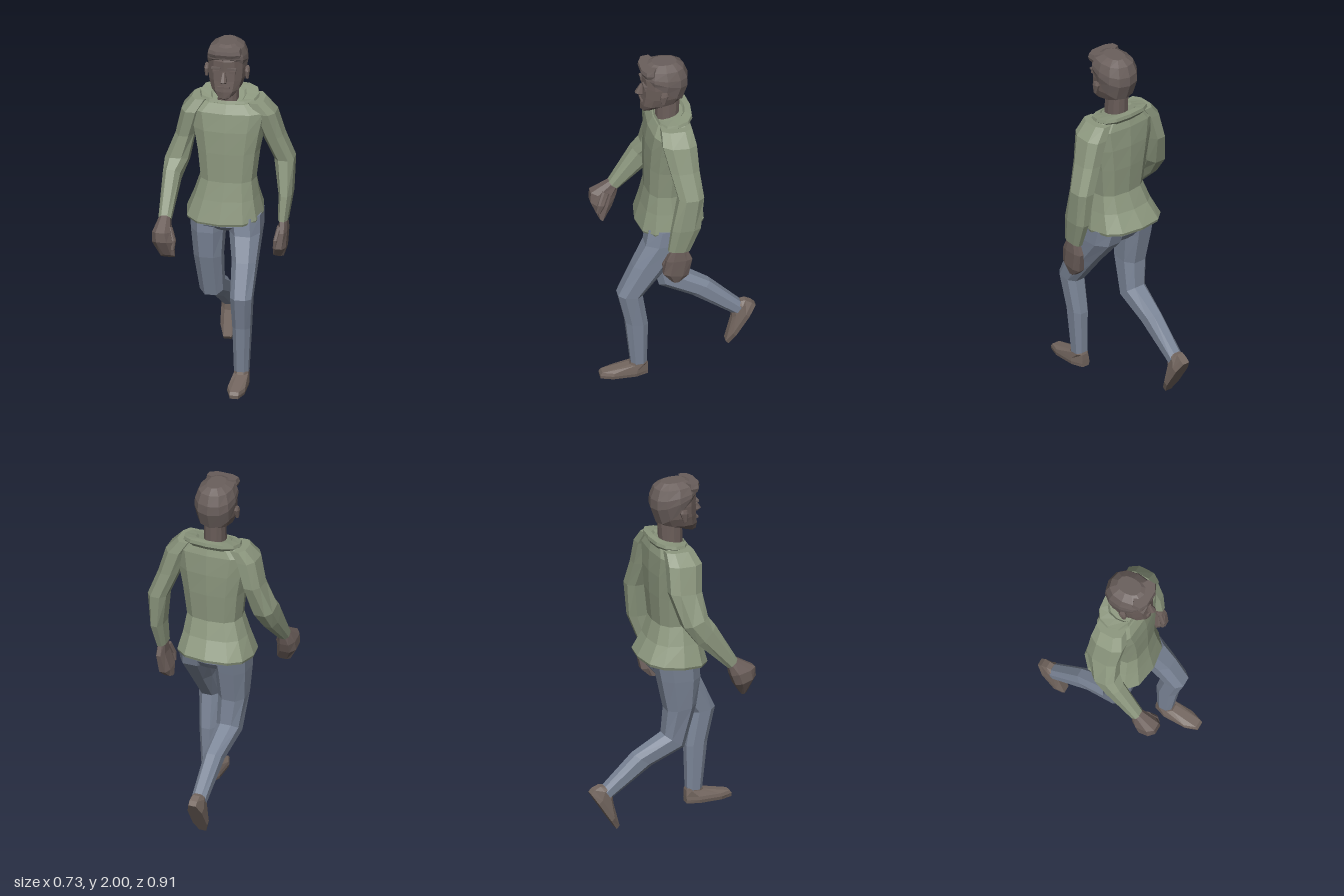
import * as THREE from 'three';

const mat = (name, color) => {
  const m = new THREE.MeshStandardMaterial({ color });
  m.name = name;
  return m;
};

// Unit cross-section with softly squared corners, running from +x to the front
function outline(n, power, offset) {
  const pts = [];
  for (let i = 0; i < n; i++) {
    const a = ((i + offset) / n) * Math.PI * 2;
    const f = (v) => Math.sign(v) * Math.abs(v) ** power;
    pts.push([f(Math.cos(a)), f(Math.sin(a))]);
  }
  const max = Math.max(...pts.map((p) => p[0]));
  return pts.map(([u, v]) => [u / max, v / max]);
}
const LIMB = outline(8, 0.8, 0.5);
const BODY = outline(12, 0.75, 0);
const HEAD = outline(12, 0.85, 0);

// Faceted skin over sections [xMin, xMax, zFront, yFront, zBack, yBack], listed from top to bottom
function loft(sections, shape, capped = true) {
  const rings = sections.map(([x0, x1, zf, yf, zb, yb]) =>
    shape.map(([u, v]) => [
      (x0 + x1) / 2 + (u * (x1 - x0)) / 2,
      (yf + yb) / 2 + (v * (yf - yb)) / 2,
      (zf + zb) / 2 + (v * (zf - zb)) / 2,
    ]));
  const n = shape.length, out = [];
  const tri = (...p) => p.forEach((q) => out.push(...q));
  for (let r = 0; r < rings.length - 1; r++) {
    for (let i = 0; i < n; i++) {
      const j = (i + 1) % n;
      tri(rings[r][i], rings[r][j], rings[r + 1][j]);
      tri(rings[r][i], rings[r + 1][j], rings[r + 1][i]);
    }
  }
  if (capped) {
    const top = rings[0], end = rings[rings.length - 1];
    for (let i = 1; i < n - 1; i++) {
      tri(top[0], top[i + 1], top[i]);
      tri(end[0], end[i], end[i + 1]);
    }
  }
  const g = new THREE.BufferGeometry();
  g.setAttribute('position', new THREE.Float32BufferAttribute(out, 3));
  g.computeVertexNormals();
  return g;
}

export function createModel() {
  const model = new THREE.Group();
  model.name = 'walkingMan';
  const skin = mat('skin', 0x6b5e5a);
  const hair = mat('hair', 0x6a5f5c);
  const knit = mat('sweater', 0x8d987f);
  const denim = mat('jeans', 0x7b8597);
  const leather = mat('shoes', 0x73665f);

  const add = (name, material, sections, shape = LIMB, capped = true) => {
    const mesh = new THREE.Mesh(loft(sections, shape, capped), material);
    mesh.name = name;
    model.add(mesh);
    return mesh;
  };
  const box = (name, material, w, h, d, x, y, z, rz = 0) => {
    const mesh = new THREE.Mesh(new THREE.BoxGeometry(w, h, d), material);
    mesh.name = name;
    mesh.position.set(x, y, z);
    mesh.rotation.z = rz;
    model.add(mesh);
  };

  // Sweater body with flared hem
  add('sweaterBody', knit, [
    [-0.10, 0.10, 0.115, 1.635, -0.035, 1.67],
    [-0.16, 0.165, 0.135, 1.635, -0.055, 1.655],
    [-0.225, 0.23, 0.165, 1.585, -0.07, 1.60],
    [-0.20, 0.205, 0.18, 1.48, -0.075, 1.48],
    [-0.175, 0.18, 0.185, 1.35, -0.07, 1.35],
    [-0.155, 0.16, 0.185, 1.18, -0.055, 1.18],
    [-0.19, 0.175, 0.205, 1.07, -0.09, 1.08],
    [-0.235, 0.197, 0.235, 0.945, -0.15, 0.985],
    [-0.23, 0.192, 0.23, 0.932, -0.145, 0.968],
  ], BODY);

  // Loose rolled collar: inside, rim, outside
  add('collar', knit, [
    [-0.07, 0.07, 0.118, 1.61, -0.02, 1.65],
    [-0.10, 0.10, 0.122, 1.645, -0.042, 1.685],
    [-0.16, 0.165, 0.122, 1.65, -0.075, 1.685],
    [-0.165, 0.17, 0.128, 1.635, -0.078, 1.665],
    [-0.14, 0.145, 0.12, 1.62, -0.06, 1.64],
  ], BODY, false);

  // Sleeves: right arm swings forward, left arm hangs
  add('rightSleeve', knit, [
    [-0.20, -0.10, 0.12, 1.645, -0.04, 1.645],
    [-0.255, -0.14, 0.15, 1.575, -0.045, 1.58],
    [-0.29, -0.185, 0.135, 1.42, -0.05, 1.43],
    [-0.345, -0.215, 0.15, 1.29, 0.01, 1.24],
    [-0.347, -0.25, 0.19, 1.235, 0.09, 1.13],
    [-0.345, -0.275, 0.32, 1.01, 0.265, 0.965],
  ]);
  add('leftSleeve', knit, [
    [0.10, 0.20, 0.12, 1.645, -0.05, 1.645],
    [0.14, 0.265, 0.125, 1.58, -0.065, 1.57],
    [0.19, 0.305, 0.09, 1.43, -0.07, 1.43],
    [0.25, 0.36, 0.055, 1.28, -0.085, 1.28],
    [0.28, 0.355, 0.095, 1.08, -0.065, 1.08],
    [0.283, 0.335, 0.112, 0.935, -0.005, 0.925],
  ]);

  // Hands with curled fingers and a thumb
  add('rightHand', skin, [
    [-0.338, -0.28, 0.31, 1.02, 0.265, 0.98],
    [-0.365, -0.265, 0.42, 0.955, 0.28, 0.92],
    [-0.365, -0.25, 0.425, 0.90, 0.305, 0.86],
    [-0.32, -0.24, 0.385, 0.81, 0.355, 0.785],
  ]);
  add('rightThumb', skin, [
    [-0.29, -0.26, 0.36, 0.97, 0.32, 0.95],
    [-0.265, -0.235, 0.39, 0.90, 0.35, 0.89],
    [-0.26, -0.24, 0.40, 0.85, 0.375, 0.84],
  ]);
  add('leftHand', skin, [
    [0.288, 0.33, 0.09, 0.95, 0.01, 0.94],
    [0.285, 0.335, 0.125, 0.87, -0.02, 0.87],
    [0.26, 0.33, 0.14, 0.78, 0.0, 0.76],
    [0.255, 0.315, 0.09, 0.718, 0.045, 0.718],
  ]);
  add('leftThumb', skin, [
    [0.28, 0.305, 0.11, 0.90, 0.08, 0.90],
    [0.265, 0.29, 0.14, 0.83, 0.11, 0.83],
    [0.262, 0.28, 0.135, 0.78, 0.115, 0.78],
  ]);

  // Jeans: seat and both legs in mid-stride
  add('jeansSeat', denim, [
    [-0.20, 0.185, 0.18, 1.0, -0.08, 1.0],
    [-0.20, 0.19, 0.19, 0.91, -0.075, 0.92],
    [-0.12, 0.12, 0.14, 0.87, -0.04, 0.875],
  ], BODY);
  add('leftJeansLeg', denim, [
    [0.0, 0.19, 0.185, 0.97, -0.08, 0.97],
    [0.02, 0.193, 0.205, 0.87, -0.055, 0.88],
    [0.05, 0.187, 0.275, 0.74, 0.08, 0.72],
    [0.06, 0.18, 0.36, 0.555, 0.222, 0.54],
    [0.065, 0.165, 0.315, 0.36, 0.19, 0.34],
    [0.07, 0.15, 0.283, 0.075, 0.195, 0.08],
  ]);
  add('rightJeansLeg', denim, [
    [-0.205, -0.01, 0.165, 0.97, -0.08, 0.97],
    [-0.20, -0.02, 0.17, 0.86, -0.06, 0.87],
    [-0.185, -0.03, 0.15, 0.70, -0.02, 0.68],
    [-0.16, -0.03, 0.085, 0.445, -0.03, 0.53],
    [-0.13, -0.03, -0.10, 0.355, -0.20, 0.43],
    [-0.115, -0.035, -0.34, 0.19, -0.385, 0.255],
  ]);

  // Shoes: left planted, right pushing off on its toe
  add('leftShoe', leather, [
    [0.072, 0.148, 0.278, 0.10, 0.20, 0.10],
    [0.07, 0.15, 0.29, 0.07, 0.19, 0.075],
    [0.058, 0.155, 0.445, 0.037, 0.188, 0.04],
    [0.055, 0.157, 0.457, 0.02, 0.188, 0.02],
    [0.06, 0.153, 0.455, 0, 0.188, 0],
  ]);
  add('rightShoe', leather, [
    [-0.11, -0.04, -0.325, 0.20, -0.375, 0.27],
    [-0.115, -0.035, -0.325, 0.165, -0.40, 0.272],
    [-0.118, -0.025, -0.287, 0.02, -0.435, 0.255],
    [-0.115, -0.03, -0.303, 0.0, -0.457, 0.235],
  ]);

  // Neck and head
  add('neck', skin, [
    [-0.058, 0.058, 0.12, 1.78, -0.02, 1.78],
    [-0.06, 0.06, 0.122, 1.62, -0.012, 1.65],
  ], HEAD);
  add('head', skin, [
    [-0.05, 0.05, 0.14, 1.99, 0.0, 1.985],
    [-0.085, 0.085, 0.18, 1.965, -0.035, 1.96],
    [-0.105, 0.105, 0.198, 1.92, -0.055, 1.92],
    [-0.109, 0.109, 0.197, 1.865, -0.058, 1.865],
    [-0.103, 0.103, 0.20, 1.80, -0.042, 1.80],
    [-0.085, 0.085, 0.207, 1.74, -0.012, 1.755],
    [-0.05, 0.05, 0.205, 1.70, 0.04, 1.735],
    [-0.035, 0.035, 0.19, 1.688, 0.08, 1.725],
  ], HEAD);

  // Short hair with a slanted hairline and a raised fringe
  add('hair', hair, [
    [-0.05, 0.05, 0.14, 2.0, 0.0, 1.997],
    [-0.093, 0.093, 0.19, 1.978, -0.04, 1.968],
    [-0.111, 0.111, 0.203, 1.945, -0.062, 1.91],
    [-0.115, 0.115, 0.202, 1.935, -0.063, 1.855],
    [-0.107, 0.107, 0.19, 1.93, -0.03, 1.76],
  ], HEAD);
  add('fringe', hair, [
    [-0.085, 0.085, 0.207, 1.985, 0.12, 1.993],
    [-0.092, 0.092, 0.21, 1.965, 0.12, 1.96],
    [-0.085, 0.085, 0.20, 1.942, 0.13, 1.94],
  ]);

  // Face
  add('nose', skin, [
    [-0.009, 0.009, 0.206, 1.86, 0.185, 1.86],
    [-0.02, 0.02, 0.234, 1.81, 0.185, 1.805],
    [-0.016, 0.016, 0.216, 1.797, 0.185, 1.797],
  ]);
  box('mouth', skin, 0.07, 0.012, 0.012, 0, 1.768, 0.202);
  for (const s of [1, -1]) {
    const side = s > 0 ? 'left' : 'right';
    box(side + 'Brow', hair, 0.05, 0.01, 0.02, s * 0.045, 1.88, 0.188, s * -0.08);
    box(side + 'Eye', skin, 0.038, 0.014, 0.012, s * 0.045, 1.857, 0.187);
    const x0 = s * 0.113;
    add(side + 'Ear', skin, [
      [x0 - 0.01, x0 + 0.01, 0.108, 1.853, 0.075, 1.857],
      [x0 - 0.014, x0 + 0.014, 0.115, 1.835, 0.068, 1.84],
      [x0 - 0.008, x0 + 0.008, 0.11, 1.79, 0.088, 1.785],
    ]);
  }
  return model;
}
